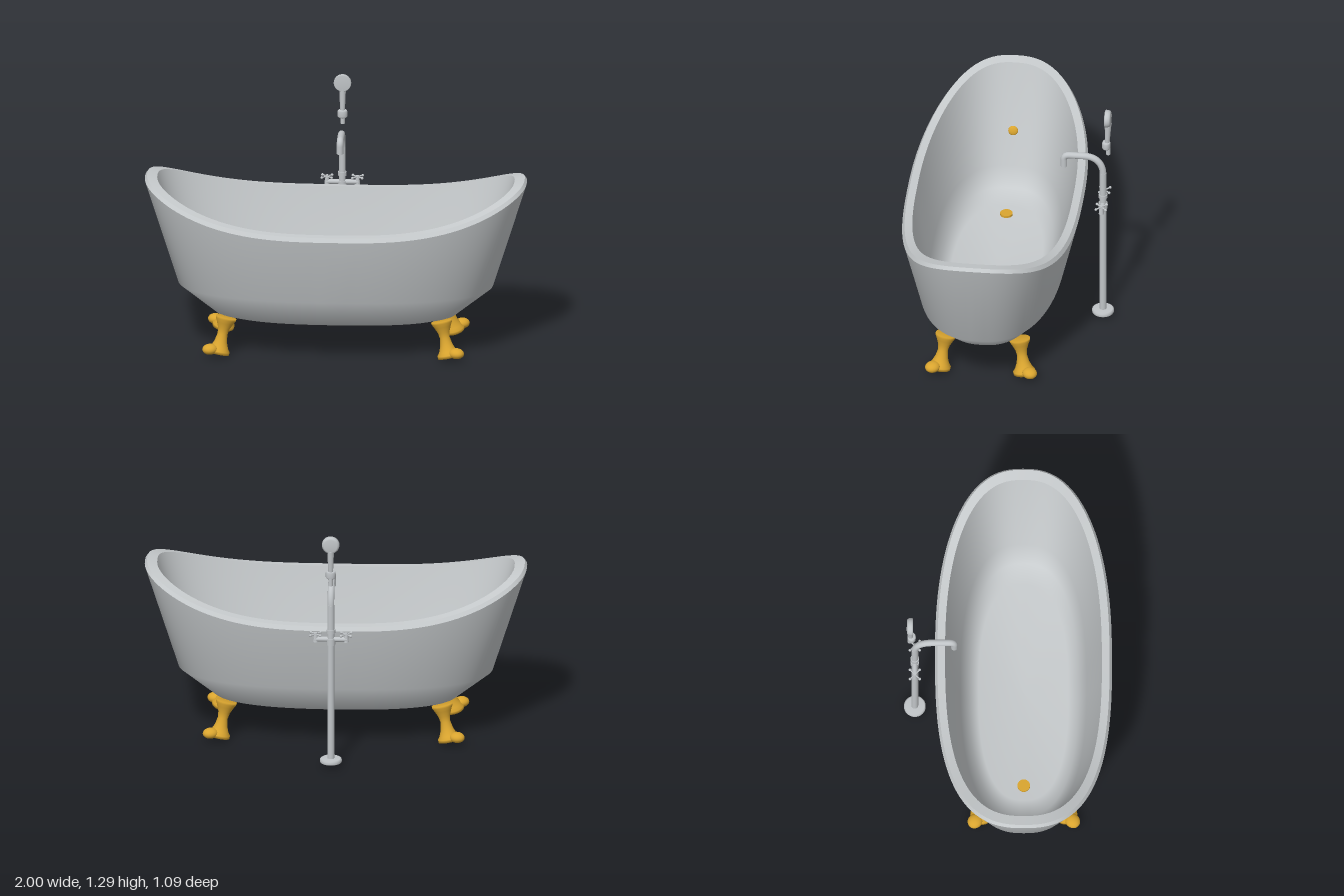
import * as THREE from 'three';

const TUB_Z = 0.08;   // the tub sits slightly forward of the tap
const SEG = 128;

const mat = (name, color) => {
  const m = new THREE.MeshStandardMaterial({ color });
  m.name = name;
  return m;
};

// Loft through superellipse rings [halfLength, halfWidth, height, rise at the ends]
function loft(rings) {
  const pos = [], idx = [];
  const pw = v => Math.sign(v) * Math.abs(v) ** 0.8;
  for (const [a, b, y, rise] of rings) {
    for (let j = 0; j < SEG; j++) {
      const t = (j / SEG) * Math.PI * 2, u = pw(Math.cos(t)), w = pw(Math.sin(t));
      pos.push(a * u, y + rise * Math.abs(u) ** 3, b * w);
    }
  }
  for (let i = 0; i < rings.length - 1; i++) {
    for (let j = 0; j < SEG; j++) {
      const k = (j + 1) % SEG, p = i * SEG, q = p + SEG;
      idx.push(p + j, q + j, p + k, q + j, q + k, p + k);
    }
  }
  const g = new THREE.BufferGeometry();
  g.setAttribute('position', new THREE.Float32BufferAttribute(pos, 3));
  g.setIndex(idx);
  g.computeVertexNormals();
  return g;
}

const lathe = (pts, n = 32) =>
  new THREE.LatheGeometry(pts.map(([r, y]) => new THREE.Vector2(r, y)), n);

export function createModel() {
  const model = new THREE.Group();
  model.name = 'bathtub';
  const enamel = mat('enamel', 0xc6cacc);
  const chrome = mat('chrome', 0xc0c4c7);
  const gold = mat('gold', 0xdaa52f);

  const add = (parent, name, geo, material, x = 0, y = 0, z = 0) => {
    const m = new THREE.Mesh(geo, material);
    m.name = name;
    m.position.set(x, y, z);
    parent.add(m);
    return m;
  };

  // Tub: outer wall, rim and basin, kept apart so the rim edges stay sharp
  const tub = new THREE.Group();
  tub.name = 'tub';
  tub.position.z = TUB_Z;
  model.add(tub);
  const outerEdge = [1, 0.463, 0.71, 0.198];
  const rimOuter = [0.988, 0.45, 0.732, 0.193];
  const rimInner = [0.935, 0.41, 0.735, 0.18];
  add(tub, 'outerWall', loft([
    [0.001, 0.001, 0.18, 0], [0.58, 0.23, 0.18, 0], [0.64, 0.28, 0.2, 0],
    [0.825, 0.378, 0.35, 0], outerEdge]), enamel);
  add(tub, 'rimEdge', loft([outerEdge, rimOuter]), enamel);
  add(tub, 'rimTop', loft([rimOuter, rimInner]), enamel);
  add(tub, 'basin', loft([
    rimInner, [0.775, 0.33, 0.37, 0], [0.7, 0.285, 0.28, 0],
    [0.6, 0.235, 0.235, 0], [0.001, 0.001, 0.228, 0]]), enamel);

  // Drain and overflow
  add(tub, 'drain', new THREE.CylinderGeometry(0.033, 0.033, 0.02, 24), gold, -0.52, 0.235, 0);
  const overflow = add(tub, 'overflow', new THREE.SphereGeometry(0.026, 24, 16), gold, -0.829, 0.555, 0);
  overflow.scale.set(0.4, 1, 1);
  overflow.rotation.z = 0.28;

  // Four flared feet leaning outwards, each with a rounded toe
  const footGeo = lathe([[0, 0], [0.057, 0], [0.058, 0.016], [0.046, 0.032], [0.033, 0.065],
    [0.026, 0.105], [0.031, 0.135], [0.044, 0.165], [0.054, 0.185], [0.055, 0.196], [0, 0.196]]);
  const toeGeo = new THREE.SphereGeometry(0.042, 24, 16).scale(1, 0.66, 0.9);
  for (const sx of [1, -1]) for (const sz of [1, -1]) {
    const foot = new THREE.Group();
    foot.name = `${sz > 0 ? 'front' : 'back'}${sx > 0 ? 'Left' : 'Right'}Foot`;
    tub.add(foot);
    const leg = add(foot, 'leg', footGeo, gold, sx * 0.604, 0.014, sz * 0.224);
    leg.quaternion.setFromUnitVectors(new THREE.Vector3(0, 1, 0),
      new THREE.Vector3(-sx * 0.04, 0.186, -sz * 0.03).normalize());
    add(foot, 'toe', toeGeo, gold, sx * 0.645, 0.045, sz * 0.255).rotation.y = -sx * sz * 0.66;
  }

  // Standing tap: base plate and one bent pipe
  const tap = new THREE.Group();
  tap.name = 'standingTap';
  tap.position.z = -0.488;
  model.add(tap);
  add(tap, 'basePlate', lathe([[0, 0.019], [0.055, 0.019], [0.057, 0.022], [0.057, 0.036],
    [0.05, 0.041], [0, 0.041]]), chrome);
  add(tap, 'post', new THREE.CylinderGeometry(0.018, 0.018, 0.87, 24), chrome, 0, 0.465, 0);
  const v = (y, z) => new THREE.Vector3(0, y, z);
  const path = new THREE.CurvePath();
  path.add(new THREE.CubicBezierCurve3(v(0.89, 0), v(0.955, 0), v(0.998, 0.035), v(0.998, 0.1)));
  path.add(new THREE.LineCurve3(v(0.998, 0.1), v(0.998, 0.175)));
  path.add(new THREE.CubicBezierCurve3(v(0.998, 0.175), v(0.998, 0.195), v(0.99, 0.206), v(0.97, 0.206)));
  path.add(new THREE.LineCurve3(v(0.97, 0.206), v(0.928, 0.206)));
  add(tap, 'spout', new THREE.TubeGeometry(path, 64, 0.0175, 20), chrome);
  add(tap, 'spoutEnd', new THREE.CircleGeometry(0.0175, 20), chrome, 0, 0.928, 0.206)
    .rotation.x = Math.PI / 2;

  // Valve body with a cross handle on each side
  add(tap, 'lowerCollar', new THREE.CylinderGeometry(0.023, 0.023, 0.035, 24), chrome, 0, 0.695, 0);
  add(tap, 'upperCollar', new THREE.CylinderGeometry(0.023, 0.023, 0.02, 24), chrome, 0, 0.753, 0);
  add(tap, 'crossbar', new THREE.CylinderGeometry(0.013, 0.013, 0.17, 20), chrome, 0, 0.708, 0)
    .rotation.z = Math.PI / 2;
  for (const s of [1, -1]) {
    const handle = new THREE.Group();
    handle.name = s > 0 ? 'leftHandle' : 'rightHandle';
    handle.position.set(s * 0.08, 0.736, 0);
    tap.add(handle);
    add(handle, 'stem', new THREE.CylinderGeometry(0.009, 0.014, 0.05, 16), chrome, 0, -0.017, 0);
    for (let i = 0; i < 4; i++) {
      const a = Math.PI / 4 + i * Math.PI / 2, c = Math.cos(a), d = Math.sin(a);
      const arm = add(handle, 'arm', new THREE.CylinderGeometry(0.004, 0.004, 0.035, 10), chrome,
        c * 0.018, 0, d * 0.018);
      arm.rotation.set(0, -a, Math.PI / 2);
      add(handle, 'knob', new THREE.SphereGeometry(0.0075, 12, 8), chrome, c * 0.036, 0, d * 0.036);
    }
  }

  // Hand shower: nub, holder, tapered grip and round head
  const shower = new THREE.Group();
  shower.name = 'handShower';
  shower.position.z = -0.505;
  model.add(shower);
  add(shower, 'nub', new THREE.CylinderGeometry(0.012, 0.012, 0.06, 16), chrome, 0, 1.05, -0.01);
  add(shower, 'holder', lathe([[0, 1.057], [0.022, 1.057], [0.026, 1.063], [0.026, 1.09],
    [0.022, 1.097], [0, 1.097]], 24), chrome).scale.z = 0.85;
  add(shower, 'grip', new THREE.CylinderGeometry(0.018, 0.012, 0.135, 20), chrome, 0, 1.147, -0.007)
    .rotation.x = -0.04;
  add(shower, 'head', lathe([[0, -0.017], [0.034, -0.017], [0.043, -0.011], [0.046, 0],
    [0.046, 0.012], [0.042, 0.016], [0, 0.016]]), chrome, 0, 1.245, -0.008)
    .rotation.x = Math.PI / 2;
  return model;
}
